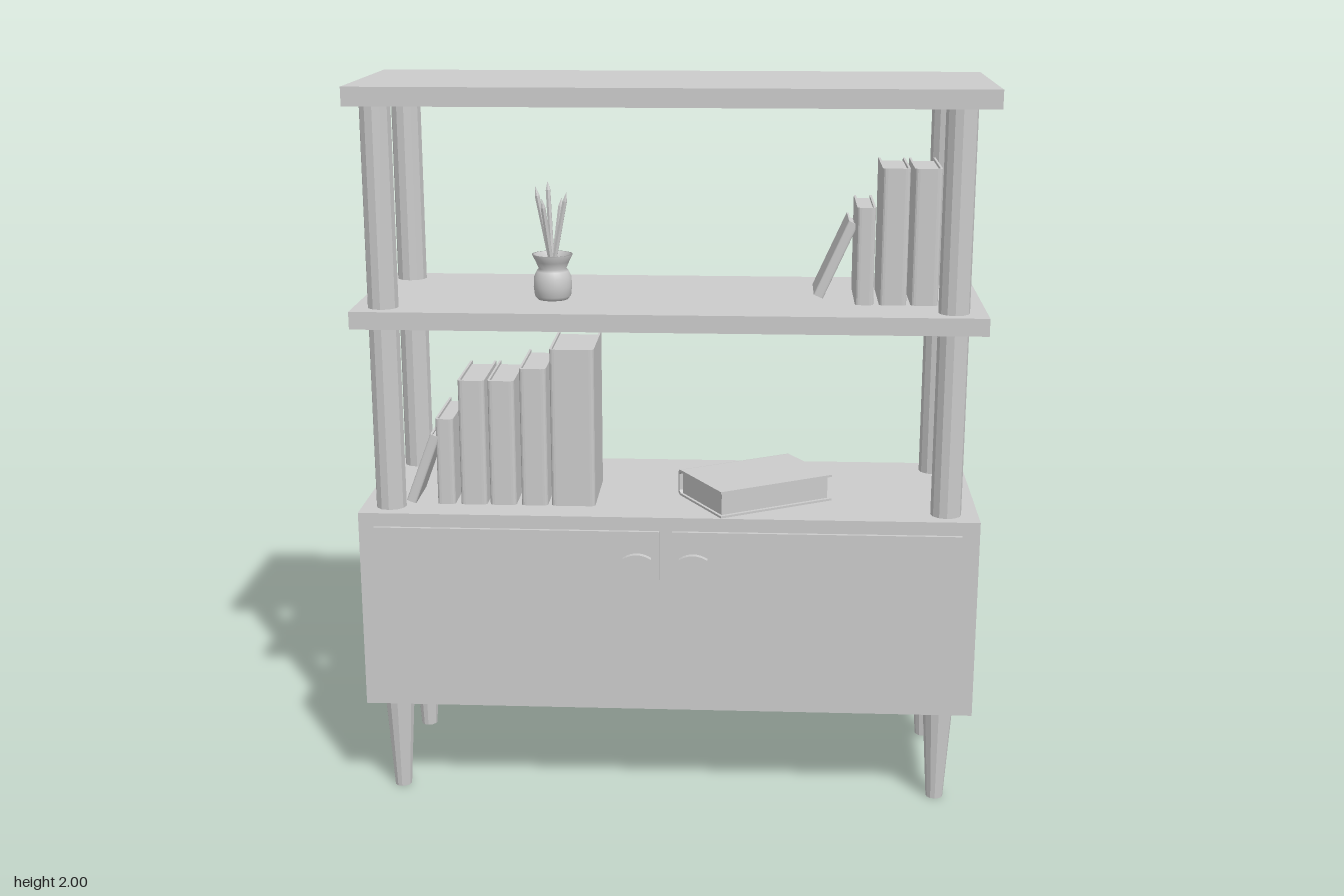
import * as THREE from 'three';

const mat = new THREE.MeshStandardMaterial({ color: 0xcccccc });
const flat = new THREE.MeshStandardMaterial({ color: 0xcccccc, flatShading: true });
const open = new THREE.MeshStandardMaterial({ color: 0xcccccc, side: THREE.DoubleSide });

function add(parent, name, geometry, material = mat) {
  const mesh = new THREE.Mesh(geometry, material);
  mesh.name = name;
  parent.add(mesh);
  return mesh;
}

// Box given by its limits on each axis
function slab(parent, name, [x0, x1], [y0, y1], [z0, z1]) {
  const m = add(parent, name, new THREE.BoxGeometry(x1 - x0, y1 - y0, z1 - z0));
  m.position.set((x0 + x1) / 2, (y0 + y1) / 2, (z0 + z1) / 2);
  return m;
}

// Upright book: bottom left corner at the origin, spine facing +z at z = 0
function book(parent, name, w, h, d) {
  const g = new THREE.Group();
  g.name = name;
  const t = 0.006, r = Math.min(0.014, w * 0.25);
  const s = new THREE.Shape();
  s.moveTo(0, d);
  s.lineTo(0, r);
  s.quadraticCurveTo(0, 0, r, 0);
  s.lineTo(w - r, 0);
  s.quadraticCurveTo(w, 0, w, r);
  s.lineTo(w, d);
  s.lineTo(w - t, d);
  s.lineTo(w - t, r);
  s.lineTo(w - r, t);
  s.lineTo(r, t);
  s.lineTo(t, r);
  s.lineTo(t, d);
  const cover = new THREE.ExtrudeGeometry(s, { depth: h, bevelEnabled: false, curveSegments: 4 });
  add(g, 'bookCover', cover.rotateX(-Math.PI / 2));
  slab(g, 'bookPages', [t, w - t], [0.008, h - 0.008], [-d + 0.01, -r]);
  parent.add(g);
  return g;
}

export function createModel() {
  const model = new THREE.Group();
  model.name = 'shelfCabinet';
  const Z = [-0.295, 0.27];

  // Cabinet and shelves
  slab(model, 'cabinet', [-0.855, 0.845], [0.28, 0.845], Z);
  slab(model, 'middleShelf', [-0.855, 0.845], [1.36, 1.408], Z);
  slab(model, 'topShelf', [-0.848, 0.852], [1.95, 2], Z);

  // Doors with fan-shaped handles
  const fan = new THREE.Shape();
  fan.moveTo(0, 0);
  fan.quadraticCurveTo(0.012, 0.032, 0.039, 0.043);
  fan.quadraticCurveTo(0, 0.067, -0.039, 0.043);
  fan.quadraticCurveTo(-0.012, 0.032, 0, 0);
  const fanGeo = new THREE.ExtrudeGeometry(fan, { depth: 0.022, bevelEnabled: false, curveSegments: 8 });
  for (const [side, x0, x1, hx] of [['right', -0.812, -0.025, -0.086], ['left', 0.01, 0.797, 0.068]]) {
    slab(model, side + 'Door', [x0, x1], [0.325, 0.807], [0.265, 0.28]);
    add(model, side + 'Handle', fanGeo).position.set(hx, 0.69, 0.275);
  }

  // Tapered legs and round posts
  const legGeo = new THREE.CylinderGeometry(0.042, 0.024, 0.28, 12);
  const postGeo = new THREE.CylinderGeometry(0.042, 0.042, 1, 12);
  for (const x of [-0.775, 0.757]) for (const z of [-0.222, 0.198]) {
    add(model, 'leg', legGeo, flat).position.set(x, 0.14, z);
    for (const [y0, y1] of [[0.845, 1.36], [1.408, 1.95]]) {
      const post = add(model, 'post', postGeo, flat);
      post.scale.y = y1 - y0;
      post.position.set(x, (y0 + y1) / 2, z);
    }
  }

  // Upright books: x, width, height, per row
  const rows = [
    [0.845, 0.178, [[-0.65, 0.05, 0.245], [-0.585, 0.074, 0.355], [-0.503, 0.074, 0.355],
      [-0.415, 0.074, 0.39], [-0.331, 0.122, 0.445]]],
    [1.408, 0.11, [[0.498, 0.05, 0.265], [0.563, 0.074, 0.37], [0.648, 0.074, 0.37]]],
  ];
  for (const [y, z, list] of rows)
    for (const [x, w, h] of list) book(model, 'book', w, h, 0.242).position.set(x, y, z);

  // Leaning books
  for (const [x, y, z, h, a] of [[-0.737, 0.855, 0.178, 0.205, -0.36], [0.388, 1.419, 0.025, 0.225, -0.42]]) {
    const b = book(model, 'leaningBook', 0.028, h, 0.155);
    b.position.set(x, y, z);
    b.rotation.z = a;
  }

  // Book lying flat, turned on the cabinet top
  const turn = new THREE.Group();
  turn.name = 'lyingBookTurn';
  const lying = book(turn, 'lyingBook', 0.075, 0.354, 0.25);
  lying.rotation.set(0, Math.PI, -Math.PI / 2, 'ZYX');
  lying.position.y = 0.075;
  lying.updateMatrix();
  const box = new THREE.Box3().setFromObject(turn);
  const c = box.getCenter(new THREE.Vector3());
  lying.position.sub(new THREE.Vector3(c.x, box.min.y, c.z));
  turn.position.set(0.232, 0.845, 0.07);
  turn.rotation.y = 0.53;
  model.add(turn);

  // Vase with pencils
  const vase = new THREE.Group();
  vase.name = 'vase';
  vase.position.set(-0.33, 1.408, 0.06);
  const profile = [[0, 0], [0.042, 0], [0.05, 0.01], [0.053, 0.035], [0.052, 0.06], [0.044, 0.078],
    [0.038, 0.085], [0.046, 0.104], [0.056, 0.124], [0.05, 0.124], [0.034, 0.085], [0.044, 0.06],
    [0.042, 0.012], [0, 0.012]];
  add(vase, 'vaseBody', new THREE.LatheGeometry(profile.map(p => new THREE.Vector2(...p)), 28), open);
  const tips = [[-0.042, 0.31, 0.012], [-0.012, 0.322, -0.02], [0.042, 0.295, 0.01],
    [0.024, 0.275, -0.035], [-0.022, 0.28, 0.035]];
  for (const [x, y, z] of tips) {
    const foot = new THREE.Vector3(-x * 0.3, 0.015, -z * 0.3);
    const dir = new THREE.Vector3(x, y, z).sub(foot);
    const len = dir.length() - 0.025;
    const pencil = new THREE.Group();
    pencil.name = 'pencil';
    add(pencil, 'pencilShaft', new THREE.CylinderGeometry(0.007, 0.007, len, 6), flat).position.y = len / 2;
    add(pencil, 'pencilTip', new THREE.ConeGeometry(0.007, 0.025, 6), flat).position.y = len + 0.0125;
    pencil.position.copy(foot);
    pencil.quaternion.setFromUnitVectors(new THREE.Vector3(0, 1, 0), dir.normalize());
    vase.add(pencil);
  }
  model.add(vase);
  return model;
}
